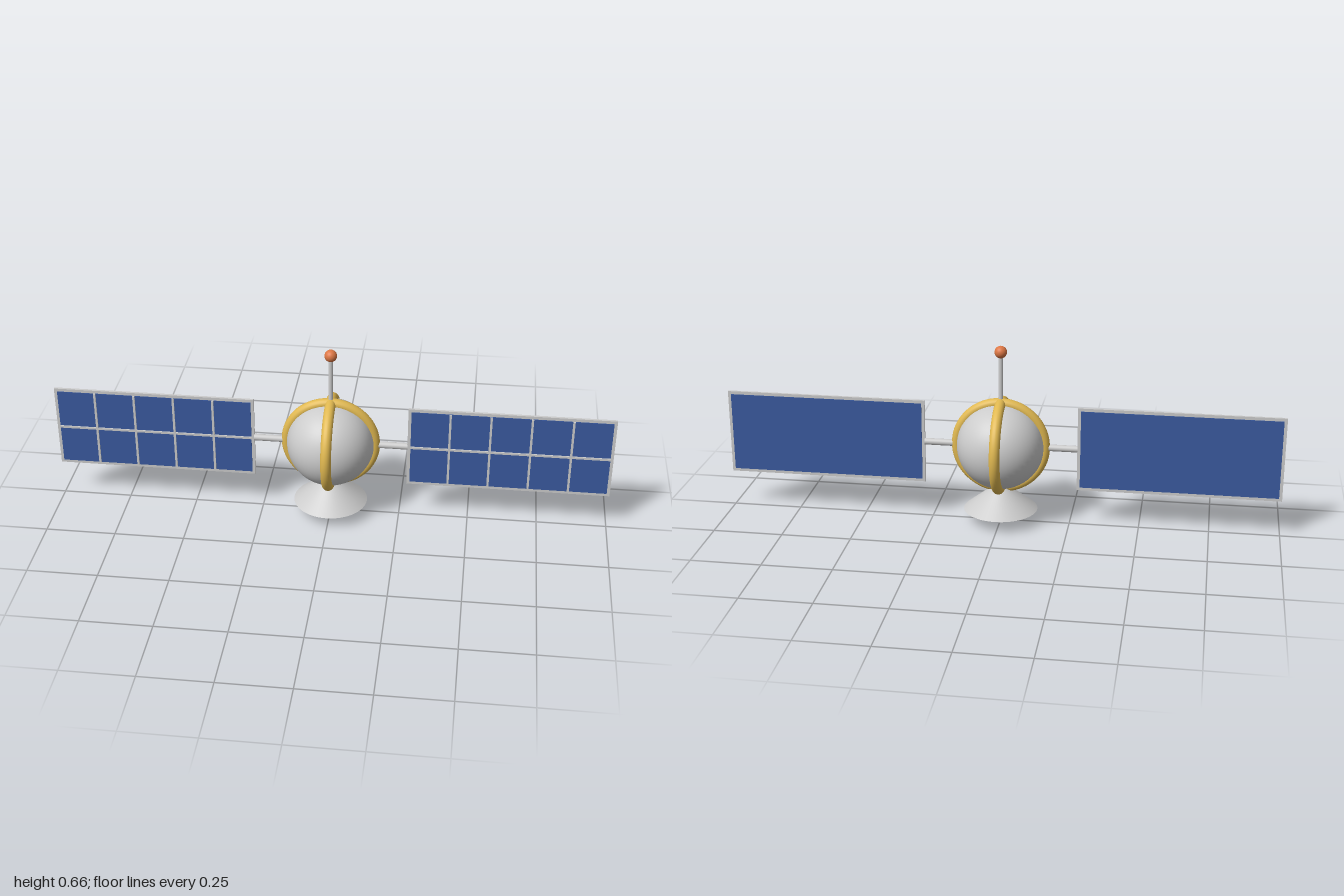
import * as THREE from 'three';

const grey = new THREE.MeshStandardMaterial({ color: 0xcccccc });
const dishGrey = new THREE.MeshStandardMaterial({ color: 0xcccccc, side: THREE.DoubleSide });
const gold = new THREE.MeshStandardMaterial({ color: 0xe0b850 });
const orange = new THREE.MeshStandardMaterial({ color: 0xdd7744 });
const blue = new THREE.MeshStandardMaterial({ color: 0x3a5a9f });

const CY = 0.29; // height of the body centre

function add(parent, name, geometry, material, x = 0, y = 0, z = 0) {
  const mesh = new THREE.Mesh(geometry, material);
  mesh.name = name;
  mesh.position.set(x, y, z);
  parent.add(mesh);
  return mesh;
}

const box = (w, h, d) => new THREE.BoxGeometry(w, h, d);
const rod = (r, h) => new THREE.CylinderGeometry(r, r, h, 20);

// Solar wing, centred on its own origin: cell slab, frame and front dividers
function createWing(name) {
  const wing = new THREE.Group();
  wing.name = name;
  const w = 0.725, h = 0.31, t = 0.011;
  add(wing, 'solarCells', box(w - 2 * t, h - 2 * t, 0.013), blue);
  for (const s of [-1, 1]) {
    add(wing, 'frameRail', box(w, t, 0.009), grey, 0, s * (h - t) / 2);
    add(wing, 'frameEnd', box(t, h - 2 * t, 0.009), grey, s * (w - t) / 2);
  }
  for (let i = 1; i < 5; i++) {
    add(wing, 'columnDivider', box(0.008, h - 2 * t, 0.006), grey, (i / 5 - 0.5) * (w - t), 0, 0.008);
  }
  add(wing, 'rowDivider', box(w - 2 * t, 0.008, 0.006), grey, 0, 0, 0.008);
  return wing;
}

export function createModel() {
  const model = new THREE.Group();
  model.name = 'satellite';

  // Round body with two crossing gold bands
  add(model, 'body', new THREE.SphereGeometry(0.157, 48, 32), grey, 0, CY);
  const band = new THREE.TorusGeometry(0.158, 0.019, 20, 80);
  add(model, 'sideBand', band, gold, 0, CY);
  add(model, 'frontBand', band, gold, 0, CY).rotation.y = Math.PI / 2;

  // Antenna mast with ball tip
  add(model, 'mast', rod(0.008, 0.2), grey, 0, 0.53);
  add(model, 'mastTip', new THREE.SphereGeometry(0.022, 28, 20), orange, 0, 0.638);

  // Open dish below, with its feed
  add(model, 'dish', new THREE.ConeGeometry(0.133, 0.106, 64, 1, true), dishGrey, 0, 0.101);
  add(model, 'feedRod', rod(0.005, 0.11), grey, 0, 0.09);
  add(model, 'feedTip', new THREE.SphereGeometry(0.025, 28, 20), orange, 0, 0.0265);

  // Struts and solar wings on both sides
  for (const s of [-1, 1]) {
    const side = s > 0 ? 'left' : 'right';
    add(model, side + 'Strut', rod(0.012, 0.13), grey, s * 0.211, CY).rotation.z = Math.PI / 2;
    const wing = createWing(side + 'Wing');
    wing.position.set(s * 0.6375, CY, 0);
    model.add(wing);
  }
  return model;
}
